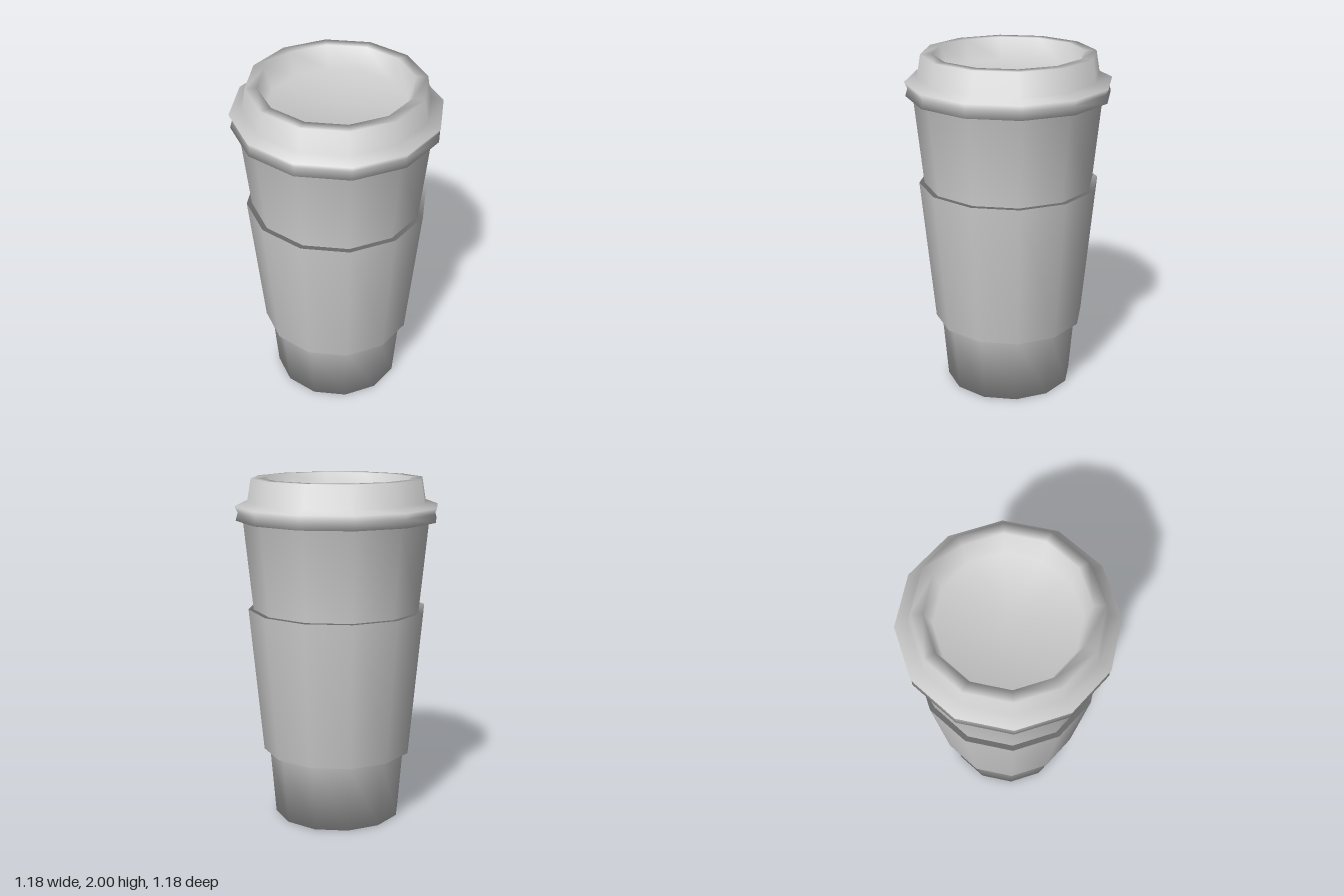
import * as THREE from 'three';

// Half outline from the centre of the base to the centre of the lid recess: [radius, height]
const outline = [
  [0, 0], [0.375, 0], [0.408, 0.4],                                  // lower cup
  [0.442, 0.4], [0.522, 1.25], [0.492, 1.25],                        // sleeve
  [0.544, 1.765],                                                    // upper cup
  [0.585, 1.765], [0.573, 1.81], [0.59, 1.845], [0.518, 1.87],       // lid skirt
  [0.496, 2], [0.43, 2], [0.39, 1.87], [0, 1.87],                    // lid rim and recess
];

// Each part covers the outline from one point to another
const parts = { lowerCup: [0, 2], sleeve: [2, 5], upperCup: [5, 6], lid: [6, 14] };

const SIDES = 12;

export function createModel() {
  const group = new THREE.Group();
  group.name = 'takeawayCup';
  const material = new THREE.MeshStandardMaterial({ color: 0xcccccc });

  // One turned surface keeps the shading smooth across the joins
  const body = new THREE.LatheGeometry(outline.map(([r, y]) => new THREE.Vector2(r, y)), SIDES);
  const index = Array.from(body.index.array);
  const bands = outline.length - 1;

  for (const [name, [from, to]] of Object.entries(parts)) {
    const geometry = body.clone();
    // Keep only the bands that belong to this part
    geometry.setIndex(index.filter((_, k) => {
      const band = Math.floor(k / 6) % bands;
      return band >= from && band < to;
    }));
    const mesh = new THREE.Mesh(geometry, material);
    mesh.name = name;
    group.add(mesh);
  }
  return group;
}
